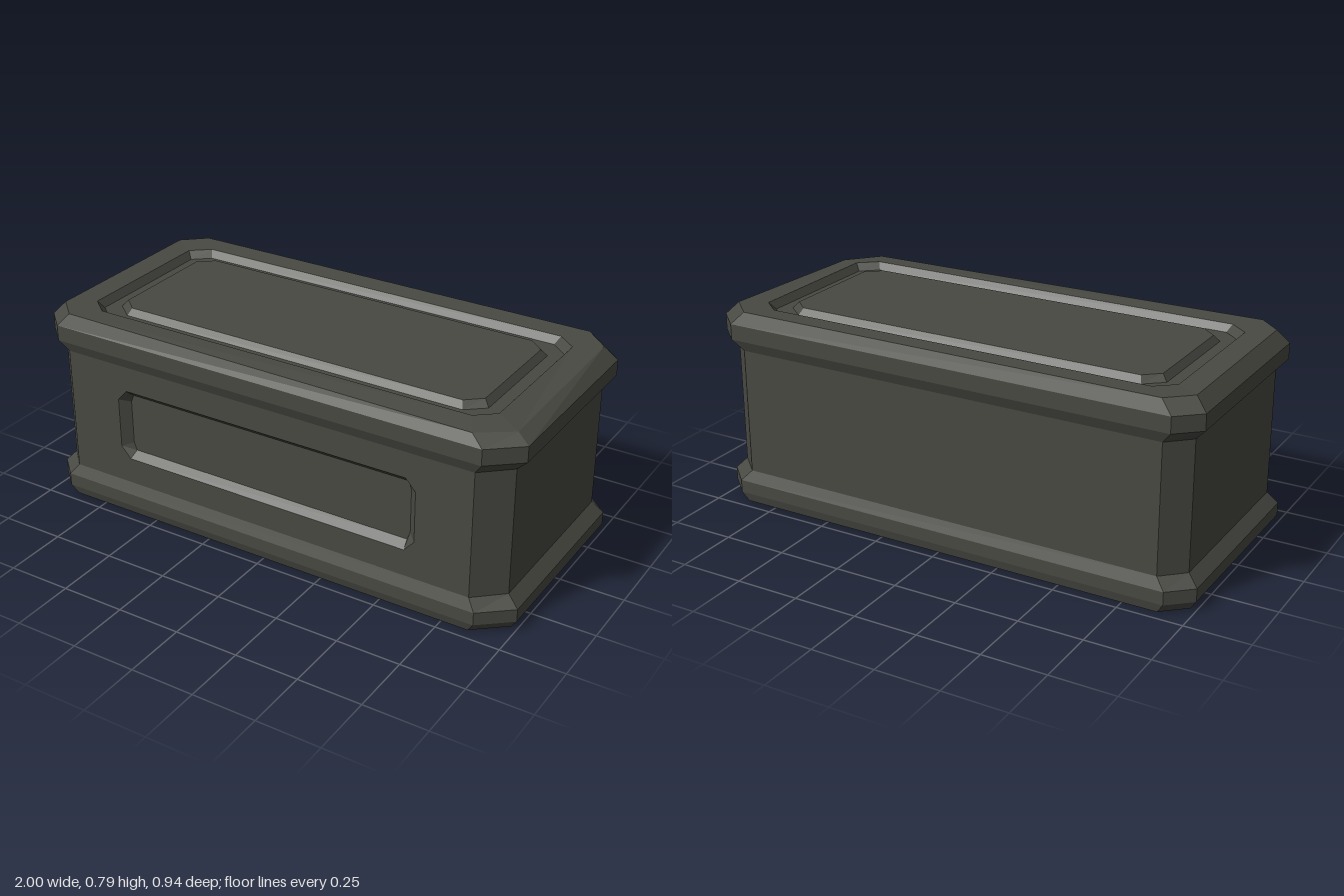
import * as THREE from 'three';

const stone = new THREE.MeshStandardMaterial({ color: 0x484942 });
stone.name = 'dark stone';

// Corner-cut rectangle, counterclockwise from the lower left.
// cuts: [du, dv] for lower left, lower right, upper right, upper left.
function octagon(u0, u1, v0, v1, cuts) {
  const [a, b, c, d] = cuts;
  return [
    [u0 + a[0], v0], [u1 - b[0], v0], [u1, v0 + b[1]], [u1, v1 - c[1]],
    [u1 - c[0], v1], [u0 + d[0], v1], [u0, v1 - d[1]], [u0, v0 + a[1]],
  ];
}
const even = (s, t = s) => [[s, t], [s, t], [s, t], [s, t]];

// Horizontal ring at height y
const level = (y, x0, x1, z0, z1, cuts) =>
  octagon(x0, x1, -z1, -z0, cuts).map(([u, v]) => new THREE.Vector3(u, y, -v));
// Upright ring facing the front at depth z
const upright = (z, x0, x1, y0, y1, cuts) =>
  octagon(x0, x1, y0, y1, cuts).map(([u, v]) => new THREE.Vector3(u, v, z));

// Joins successive rings with flat faces; optional caps and one skipped side
function loft(name, rings, { capStart = false, capEnd = false, skip = -1 } = {}) {
  const pos = [];
  const tri = (...pts) => pts.forEach((p) => pos.push(p.x, p.y, p.z));
  for (let i = 0; i + 1 < rings.length; i++) {
    const lo = rings[i], hi = rings[i + 1], n = lo.length;
    for (let j = 0; j < n; j++) {
      if (j === skip) continue;
      const k = (j + 1) % n;
      tri(lo[j], lo[k], hi[k]);
      tri(lo[j], hi[k], hi[j]);
    }
  }
  const first = rings[0], last = rings[rings.length - 1];
  for (let j = 1; j + 1 < first.length; j++) {
    if (capStart) tri(first[0], first[j + 1], first[j]);
    if (capEnd) tri(last[0], last[j], last[j + 1]);
  }
  const geo = new THREE.BufferGeometry();
  geo.setAttribute('position', new THREE.Float32BufferAttribute(pos, 3));
  geo.computeVertexNormals();
  const mesh = new THREE.Mesh(geo, stone);
  mesh.name = name;
  return mesh;
}

export function createModel() {
  const group = new THREE.Group();
  group.name = 'stoneChest';

  // Slightly uneven corner cuts: front left, front right, back right, back left
  const trimCuts = [[0.085, 0.08], [0.12, 0.1], [0.095, 0.09], [0.09, 0.08]];
  const bodyCuts = [[0.08, 0.08], [0.107, 0.095], [0.095, 0.09], [0.085, 0.08]];
  const trim = (y) => level(y, -1, 1, -0.468, 0.468, trimCuts);
  const body = (y) => level(y, -0.96, 0.957, -0.45, 0.45, bodyCuts);

  // Base moulding
  group.add(loft('baseMoulding', [
    level(0, -0.975, 0.975, -0.458, 0.456, trimCuts), trim(0.037), trim(0.088), body(0.132),
  ], { capStart: true }));

  // Body walls, with the front side left open for the recessed panel
  group.add(loft('body', [body(0.132), body(0.632)], { skip: 0 }));

  // Front wall with its opening
  const opening = upright(0.45, -0.655, 0.63, 0.238, 0.53, even(0.04, 0.045));
  const wall = new THREE.Shape([[-0.88, 0.132], [0.85, 0.132], [0.85, 0.632], [-0.88, 0.632]]
    .map(([x, y]) => new THREE.Vector2(x, y)));
  wall.holes.push(new THREE.Path(opening.map((p) => new THREE.Vector2(p.x, p.y))));
  const frontWall = new THREE.Mesh(new THREE.ShapeGeometry(wall), stone);
  frontWall.name = 'frontWall';
  frontWall.position.z = 0.45;
  group.add(frontWall);

  // Sunken front panel
  group.add(loft('frontRecess', [
    opening, upright(0.42, -0.617, 0.598, 0.265, 0.503, even(0.012, 0.03)),
  ], { capEnd: true }));

  // Lid rim, with a worn front right corner
  const rimTop = level(0.787, -0.955, 0.95, -0.447, 0.445, trimCuts);
  rimTop[1].y -= 0.012;
  rimTop[2].y -= 0.02;
  const grooveEdge = level(0.783, -0.86, 0.852, -0.36, 0.352, even(0.072, 0.06));
  group.add(loft('lidRim', [body(0.632), trim(0.675), trim(0.737), rimTop, grooveEdge]));

  // Groove around the lid and the raised panel inside it
  const panelFoot = level(0.755, -0.79, 0.783, -0.297, 0.288, even(0.07, 0.058));
  group.add(loft('lidGroove', [
    grooveEdge, level(0.755, -0.838, 0.83, -0.338, 0.332, even(0.066, 0.056)), panelFoot,
  ]));
  group.add(loft('lidPanel', [
    panelFoot, level(0.78, -0.77, 0.762, -0.278, 0.267, even(0.06, 0.052)),
  ], { capEnd: true }));

  return group;
}
